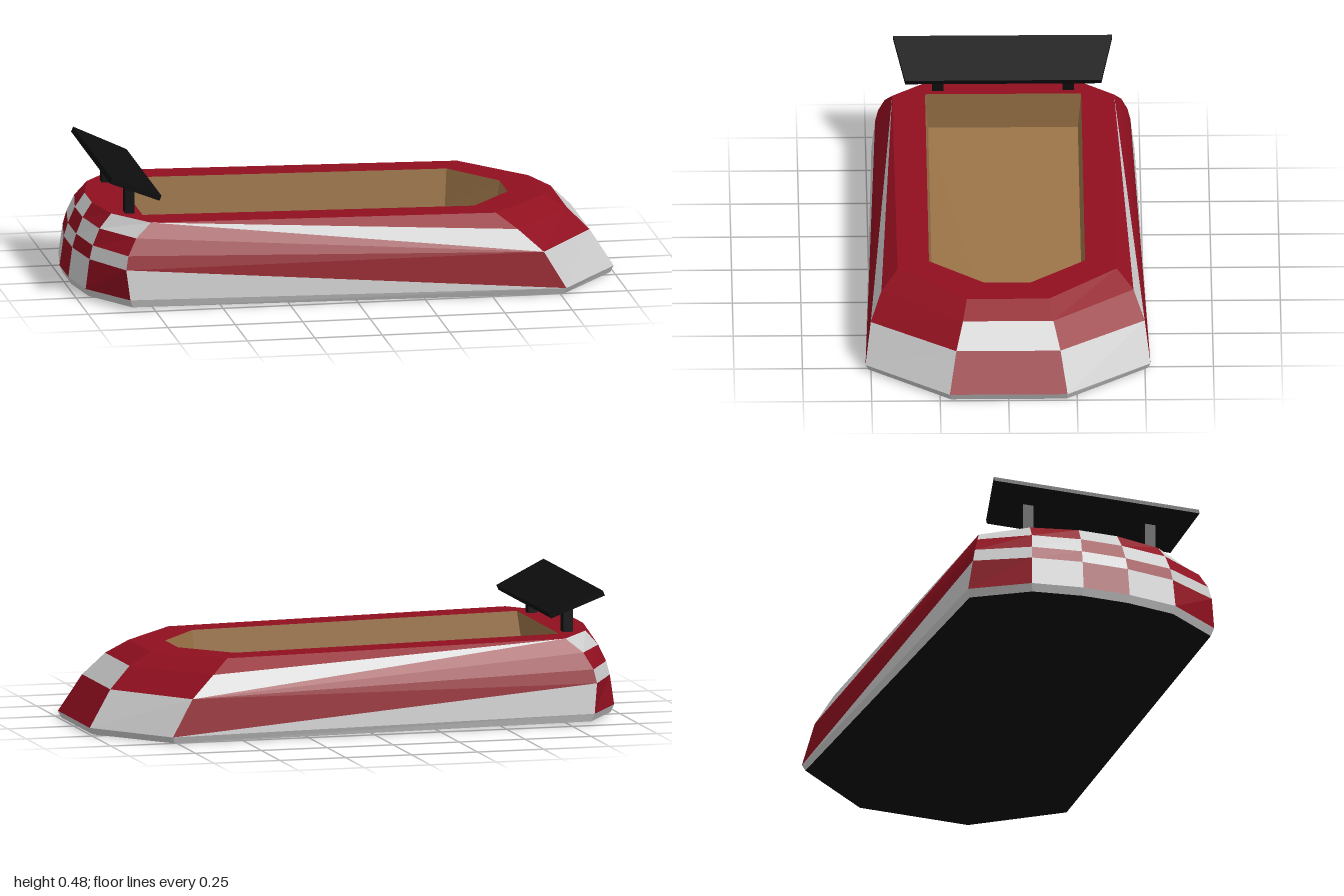
import * as THREE from 'three';

const RED = 0x900f1f, WHITE = 0xcccccc, BLACK = 0x0d0d0d, TAN = 0x9c7448;

// Height of the gently sloping deck at a given x
const deckY = (x) => 0.2983 - 0.0159 * x;
const mirror = ([x, y, z]) => [x, y, -z];
const mirrorFace = (face) => face.map(mirror).reverse();
const closeRing = (half) => [...half, ...half.map(mirror).reverse()];

// Flat-faced mesh from convex polygons
function facets(name, color, faces) {
  const points = [];
  for (const f of faces) {
    for (let i = 1; i < f.length - 1; i++) points.push(...f[0], ...f[i], ...f[i + 1]);
  }
  const geometry = new THREE.BufferGeometry();
  geometry.setAttribute('position', new THREE.Float32BufferAttribute(points, 3));
  geometry.computeVertexNormals();
  return solid(name, color, geometry);
}

function solid(name, color, geometry) {
  const mesh = new THREE.Mesh(geometry, new THREE.MeshStandardMaterial({ color, flatShading: true }));
  mesh.name = name;
  return mesh;
}

// Outward band of quads between two closed rings
const band = (low, high) => low.map((p, i) => {
  const j = (i + 1) % low.length;
  return [p, low[j], high[j], high[i]];
});

export function createModel() {
  const model = new THREE.Group();
  model.name = 'racingBoatCar';

  // Upright edges of the left half, bottom to top
  const top = (x, z) => [x, deckY(x), z];
  const tailInner = [[-1, 0.04, 0.09], [-0.985, 0.15, 0.088], [-0.97, 0.2, 0.085], [-0.945, 0.26, 0.08], top(-0.91, 0.075)];
  const tailOuter = [[-0.97, 0.04, 0.28], [-0.955, 0.15, 0.275], [-0.942, 0.2, 0.27], [-0.915, 0.26, 0.26], top(-0.87, 0.25)];
  const rear = [[-0.84, 0.04, 0.48], [-0.853, 0.15, 0.466], [-0.843, 0.2, 0.455], [-0.81, 0.26, 0.432], top(-0.75, 0.405)];
  const shoulder = [[0.77, 0.025, 0.52], [0.69, 0.16, 0.5], [0.6, 0.24, 0.46], top(0.53, 0.4)];
  const nose = [[1, 0.025, 0.215], [0.915, 0.16, 0.19], [0.835, 0.24, 0.165], top(0.75, 0.15)];
  const edges = [tailInner, tailOuter, rear, shoulder, nose];

  const red = [], white = [];
  const panel = (a, b, i) => [a[i], b[i], b[i + 1], a[i + 1]];
  const addBoth = (list, face) => list.push(face, mirrorFace(face));

  // Chequered tail
  for (let i = 0; i < 4; i++) {
    const [even, odd] = i % 2 ? [white, red] : [red, white];
    addBoth(even, panel(tailOuter, rear, i));
    addBoth(odd, panel(tailInner, tailOuter, i));
    even.push(panel(tailInner.map(mirror), tailInner, i));
  }

  // Faceted nose
  for (let i = 0; i < 3; i++) {
    addBoth(i === 0 ? white : red, panel(shoulder, nose, i));
    (i === 1 ? white : red).push(panel(nose, nose.map(mirror), i));
  }

  // Sides with tapering stripes
  addBoth(white, [rear[0], shoulder[0], rear[1]]);
  addBoth(red, [shoulder[0], shoulder[1], rear[1]]);
  for (let i = 1; i < 4; i++) addBoth(red, [shoulder[1], rear[i + 1], rear[i]]);
  addBoth(white, [rear[4], shoulder[1], shoulder[2]]);
  addBoth(red, [rear[4], shoulder[2], shoulder[3]]);
  model.add(facets('redBodyPanels', RED, red), facets('whiteBodyPanels', WHITE, white));

  // Skirt and underside
  const sill = closeRing(edges.map((e) => e[0]));
  const base = sill.map(([x, y, z]) => [x * 0.988, 0.006 - 0.006 * x, z * 0.98]);
  model.add(facets('skirt', WHITE, band(base, sill)));
  model.add(facets('underside', BLACK, [[...base].reverse()]));

  // Deck with cockpit opening
  const rim = closeRing([top(-0.76, 0.285), top(0.47, 0.285), top(0.63, 0.085)]);
  const toVec = ([x, , z]) => new THREE.Vector2(x, -z);
  const deckShape = new THREE.Shape(closeRing(edges.map((e) => e[e.length - 1])).map(toVec));
  deckShape.holes.push(new THREE.Path(rim.map(toVec)));
  const deck = new THREE.ShapeGeometry(deckShape).rotateX(-Math.PI / 2);
  const pos = deck.attributes.position;
  for (let i = 0; i < pos.count; i++) pos.setY(i, deckY(pos.getX(i)));
  deck.computeVertexNormals();
  model.add(solid('deck', RED, deck));

  // Cockpit tub
  const floor = closeRing([[-0.78, 0.16, 0.273], [0.462, 0.15, 0.273], [0.615, 0.15, 0.08]]);
  model.add(facets('cockpitWalls', TAN, band(floor, rim).map((f) => f.reverse())));
  model.add(facets('cockpitFloor', TAN, [floor]));

  // Rear wing: a tilted board narrowing toward its front edge
  const board = new THREE.BoxGeometry(0.208, 0.02, 0.8);
  const bp = board.attributes.position;
  for (let i = 0; i < bp.count; i++) if (bp.getX(i) > 0) bp.setZ(i, bp.getZ(i) * 0.895);
  board.rotateZ(-0.41);
  const wing = solid('wing', BLACK, board);
  wing.position.set(-0.802, 0.43, 0);
  model.add(wing);

  // Wing posts
  for (const side of [1, -1]) {
    const post = solid(side > 0 ? 'frontSidePost' : 'backSidePost', BLACK, new THREE.BoxGeometry(0.035, 0.125, 0.042));
    post.position.set(-0.802, 0.365, side * 0.238);
    model.add(post);
  }
  return model;
}
